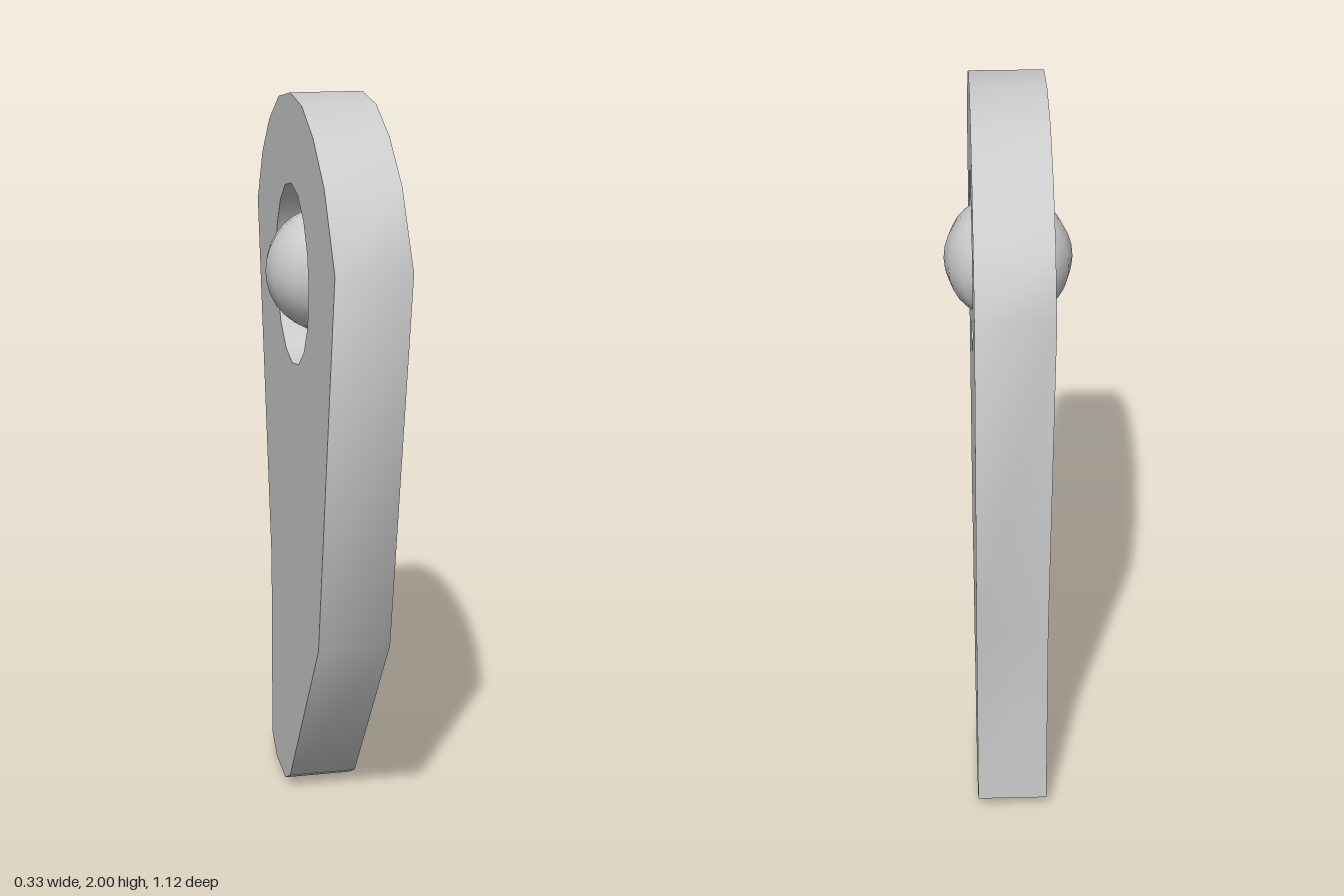
import * as THREE from 'three';
import { toCreasedNormals } from 'three/addons/utils/BufferGeometryUtils.js';

export function createModel() {
  const group = new THREE.Group();
  const material = new THREE.MeshStandardMaterial({ color: 0xcccccc });

  // Plate outline as (z, y): arched head tapering to an offset toe
  const outline = [
    [0.56, 1.64], [0.43, 1.825], [0.29, 1.925], [0.14, 1.985], [-0.025, 2],
    [-0.195, 1.972], [-0.35, 1.893], [-0.47, 1.787], [-0.56, 1.64],
    [-0.377, 0.61], [-0.39, 0.045], [-0.315, 0], [-0.165, 0], [-0.085, 0.045], [0.35, 0.61],
  ].map(([z, y]) => new THREE.Vector2(z, y));
  const shape = new THREE.Shape(outline);

  // Sixteen-sided eye through the head
  const eye = [];
  for (let i = 0; i < 16; i++) {
    const a = (i / 16) * Math.PI * 2;
    eye.push(new THREE.Vector2(-0.012 + 0.24 * Math.cos(a), 1.53 + 0.24 * Math.sin(a)));
  }
  shape.holes.push(new THREE.Path(eye));

  const thickness = 0.19;
  let plateGeometry = new THREE.ExtrudeGeometry(shape, { depth: thickness, bevelEnabled: false });
  plateGeometry.translate(0, 0, -thickness / 2).rotateY(-Math.PI / 2);
  plateGeometry = toCreasedNormals(plateGeometry, 0.85);
  const plate = new THREE.Mesh(plateGeometry, material);
  plate.name = 'plate';
  group.add(plate);

  // Ball floating in the eye
  const ball = new THREE.Mesh(new THREE.SphereGeometry(0.165, 16, 16), material);
  ball.name = 'ball';
  ball.position.set(0, 1.54, -0.012);
  group.add(ball);

  return group;
}
